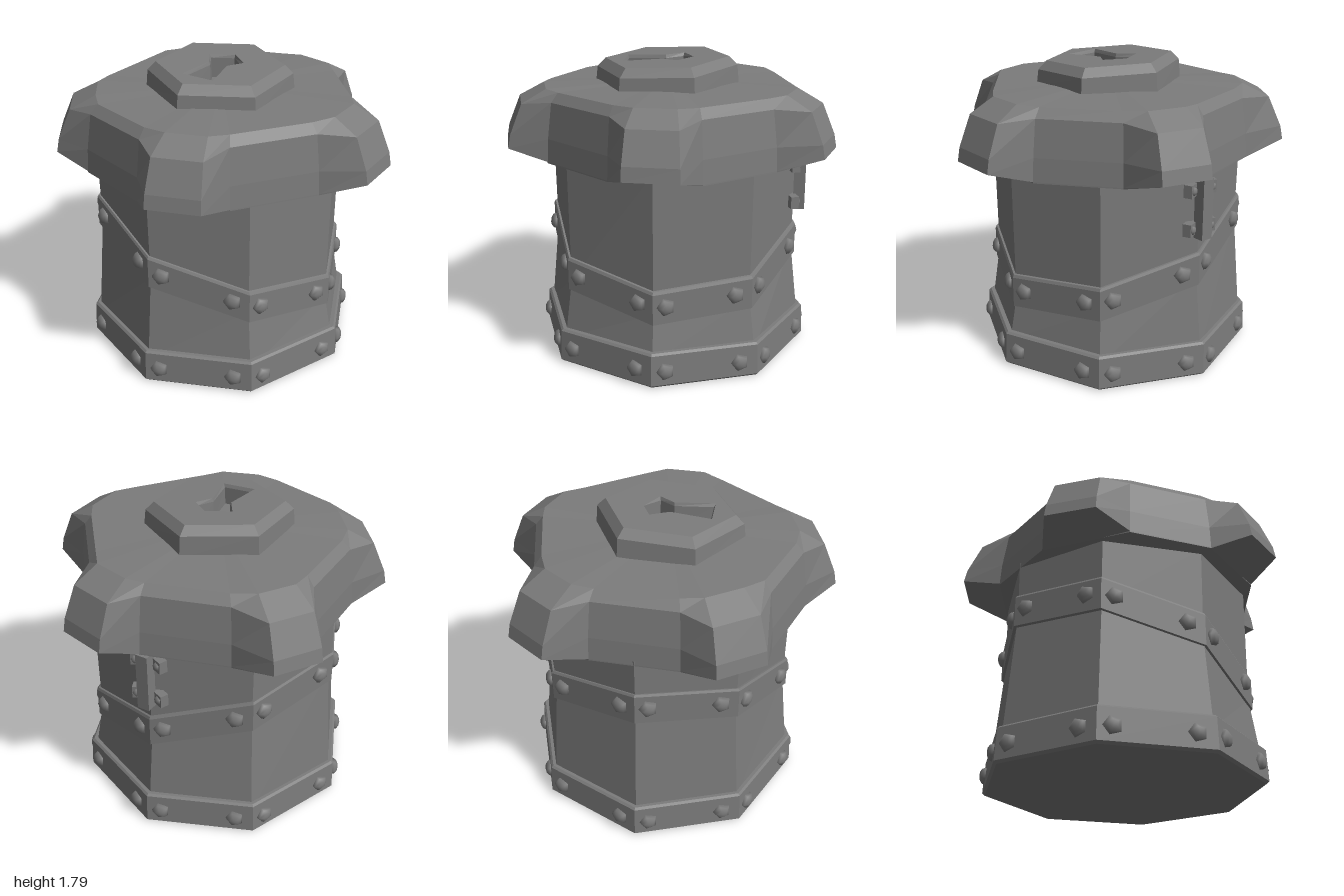
import * as THREE from 'three';

const CX = -0.065, CZ = -0.01; // axis of the octagonal body
const V = (x, y, z) => new THREE.Vector3(x, y, z);
const grey = new THREE.MeshStandardMaterial({ color: 0x7c7c7c });
grey.name = 'stone grey';

// Flat-faced skin over stacked rings, with optional fan caps at either end
function loft(rings, bottom, top) {
  const p = [];
  const tri = (...v) => v.forEach((q) => p.push(q.x, q.y, q.z));
  const n = rings[0].length;
  for (let i = 0; i < n; i++) {
    const j = (i + 1) % n;
    for (let k = 0; k + 1 < rings.length; k++) {
      const a = rings[k], b = rings[k + 1];
      tri(a[i], a[j], b[j]);
      tri(a[i], b[j], b[i]);
    }
    if (bottom) tri(bottom, rings[0][j], rings[0][i]);
    if (top) tri(top, rings.at(-1)[i], rings.at(-1)[j]);
  }
  const g = new THREE.BufferGeometry();
  g.setAttribute('position', new THREE.Float32BufferAttribute(p, 3));
  g.computeVertexNormals();
  return g;
}

// Regular ring round (cx, cz); height is a function of the offset from the centre
function ring(n, r, height, cx = CX, cz = CZ) {
  return Array.from({ length: n }, (_, i) => {
    const a = (i / n) * Math.PI * 2, x = Math.sin(a) * r, z = Math.cos(a) * r;
    return V(cx + x, height(x, z), cz + z);
  });
}
const flat = (y) => () => y;
const slant = (y) => (x, z) => y - 0.3 * x + 0.045 * z;

export function createModel() {
  const model = new THREE.Group();
  const add = (name, geometry, parent = model) => {
    const mesh = new THREE.Mesh(geometry, grey);
    mesh.name = name;
    parent.add(mesh);
    return mesh;
  };

  // Body, pinched under the slanted strap
  add('body', loft([
    ring(8, 0.805, flat(0.15)), ring(8, 0.75, slant(0.65)), ring(8, 0.757, flat(1.25)),
  ]));

  // Base band with chamfered foot
  add('baseBand', loft([
    ring(8, 0.825, flat(0)), ring(8, 0.842, flat(0.015)),
    ring(8, 0.833, flat(0.2)), ring(8, 0.82, flat(0.212)), ring(8, 0.78, flat(0.212)),
  ], V(CX, 0, CZ)));

  // Slanted strap
  add('strap', loft([
    ring(8, 0.73, slant(0.598)), ring(8, 0.772, slant(0.598)), ring(8, 0.772, slant(0.782)),
    ring(8, 0.764, slant(0.797)), ring(8, 0.73, slant(0.797)),
  ]));

  // Studs: two on each side of both bands
  const studGeo = new THREE.SphereGeometry(0.055, 5, 3, 0, Math.PI * 2, 0, Math.PI / 2);
  studGeo.scale(1, 0.65, 1).rotateX(Math.PI / 2);
  const studs = new THREE.Group();
  studs.name = 'studs';
  model.add(studs);
  for (const [r, height] of [[0.836, flat(0.1)], [0.772, slant(0.7)]]) {
    const corners = ring(8, r, height);
    corners.forEach((c, i) => {
      for (const t of [0.13, 0.83]) {
        const stud = add('stud', studGeo, studs);
        stud.position.lerpVectors(c, corners[(i + 1) % 8], t);
        stud.rotation.y = (i + 0.5) * Math.PI / 4;
      }
    });
  }

  // Lid: five lobes, outline alternates lobe pair and valley pair
  const outline = [
    [0.11, 0.99], [0.40, 0.89], [0.42, 0.65], [0.73, 0.23],
    [0.96, 0.11], [0.96, -0.20], [0.73, -0.29], [0.41, -0.67],
    [0.37, -0.93], [0.08, -1.0], [-0.05, -0.82], [-0.53, -0.67],
    [-0.80, -0.71], [-0.96, -0.47], [-0.82, -0.26], [-0.82, 0.24],
    [-0.94, 0.45], [-0.76, 0.69], [-0.53, 0.69], [-0.06, 0.83],
  ];
  const isLobe = (i) => i % 4 < 2;
  const at = (i) => outline[(i + 20) % 20];
  const lidRing = (lobeScale, lobeY, valleyScale, valleyY) => outline.map(([x, z], i) => {
    const s = isLobe(i) ? lobeScale : valleyScale;
    return V(x * s, isLobe(i) ? lobeY : valleyY, z * s);
  });
  // The lowest ring runs straight across the root of each lobe
  const root = outline.map(([x, z], i) => {
    if (!isLobe(i)) return V(x, 1.218, z);
    const first = i - (i % 4), a = at(first - 1), b = at(first + 2), t = (1 + (i % 4)) / 3;
    return V(a[0] + (b[0] - a[0]) * t, 1.218, a[1] + (b[1] - a[1]) * t);
  });
  add('lid', loft([
    root, lidRing(1, 1.29, 1, 1.225), lidRing(0.985, 1.37, 0.99, 1.36),
    lidRing(0.91, 1.55, 0.955, 1.57), lidRing(0.76, 1.63, 0.9, 1.625),
  ], V(0, 1.218, 0), V(-0.05, 1.645, 0.02)));

  // Hexagonal knob with a slightly tilted top and a keyhole
  const KX = -0.05, KZ = 0.025;
  const tilt = (y) => (x, z) => y - 0.035 * x - 0.035 * z;
  const knob = new THREE.Group();
  knob.name = 'knob';
  model.add(knob);
  const rim = ring(6, 0.375, tilt(1.775), KX, KZ).reverse();
  add('knobSides', loft([
    ring(6, 0.437, flat(1.61), KX, KZ),
    ring(6, 0.425, tilt(1.725), KX, KZ),
    ring(6, 0.375, tilt(1.775), KX, KZ),
  ]), knob);

  const keyhole = [
    [-0.05, -0.13], [0.05, -0.05], [0.0, 0.04], [0.05, 0.26],
    [-0.13, 0.27], [-0.11, 0.04], [-0.17, -0.06],
  ];
  const holeRing = (s, height) => keyhole.map(([x, z]) => {
    const dx = (x + 0.05) * s, dz = (z - 0.05) * (s > 1 ? 1.04 : 1) + 0.025;
    return V(KX + dx, height(dx, dz), KZ + dz);
  });
  const lip = holeRing(1.12, tilt(1.775));
  const face = new THREE.Shape(rim.map((v) => new THREE.Vector2(v.x, -v.z)));
  face.holes.push(new THREE.Path(lip.map((v) => new THREE.Vector2(v.x, -v.z))));
  const faceGeo = new THREE.ShapeGeometry(face).rotateX(-Math.PI / 2);
  const pos = faceGeo.attributes.position;
  for (let i = 0; i < pos.count; i++) {
    pos.setY(i, tilt(1.775)(pos.getX(i) - KX, pos.getZ(i) - KZ));
  }
  faceGeo.computeVertexNormals();
  add('knobFace', faceGeo, knob);
  add('keyholeWalls', loft([holeRing(0.95, flat(1.62)), holeRing(1, tilt(1.755)), lip]), knob);

  // Hinge on the back corner: upright bar, two folded cross plates, small rivets
  const hinge = new THREE.Group();
  hinge.name = 'hinge';
  hinge.position.set(CX, 0, CZ - 0.757);
  model.add(hinge);
  add('hingeBar', new THREE.BoxGeometry(0.075, 0.36, 0.07), hinge).position.set(0, 1.04, -0.03);
  for (const y of [0.92, 1.15]) {
    for (const s of [-1, 1]) {
      const wing = new THREE.Group();
      wing.name = 'hingeWing';
      wing.position.set(s * 0.055, y, 0.012);
      wing.rotation.y = s * Math.PI / 8;
      hinge.add(wing);
      add('wingPlate', new THREE.BoxGeometry(0.11, 0.075, 0.05), wing);
      const rivet = add('rivet', studGeo, wing);
      rivet.position.set(s * 0.025, 0, -0.024);
      rivet.rotation.y = Math.PI;
      rivet.scale.setScalar(0.5);
    }
  }
  return model;
}
